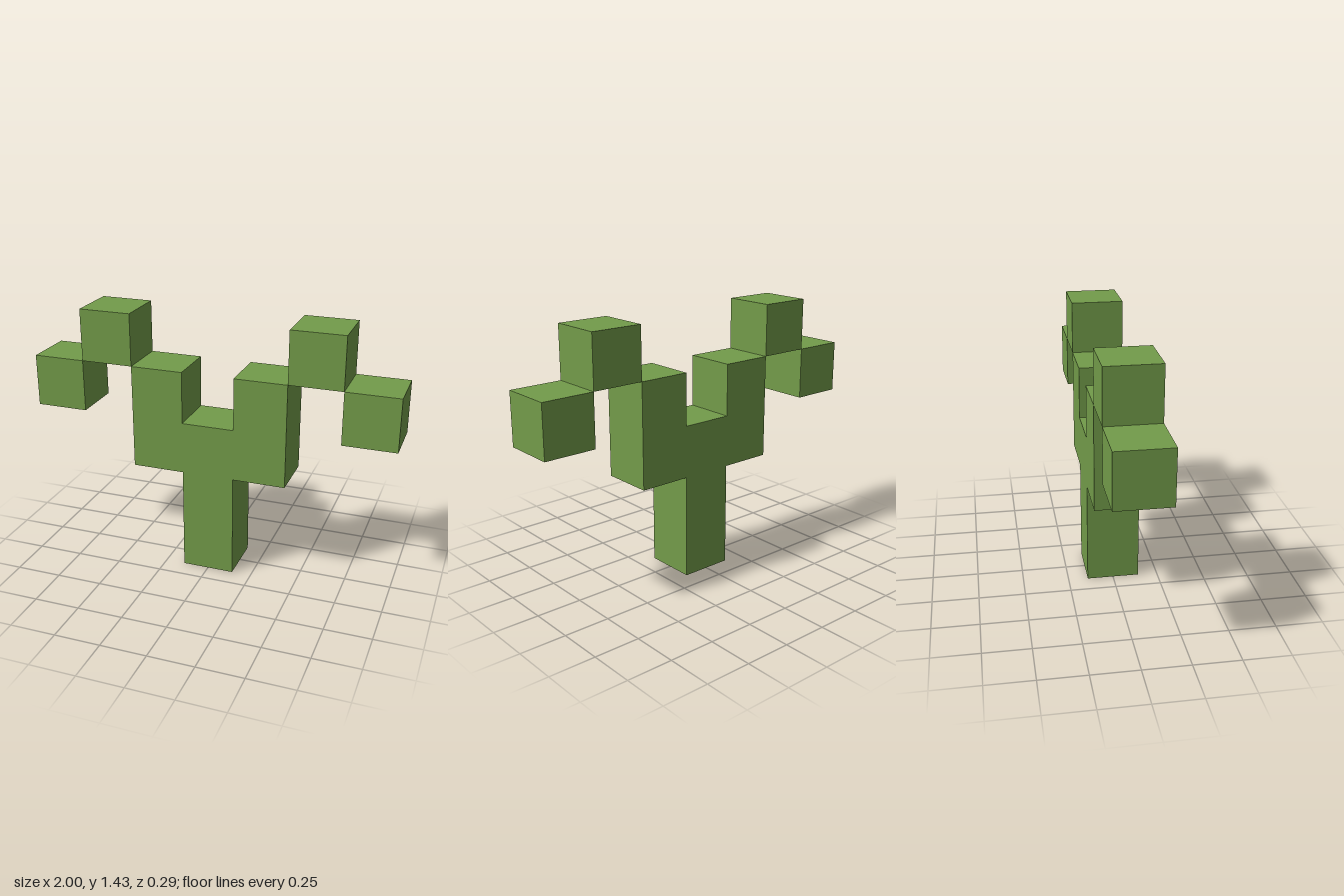
import * as THREE from 'three';

const U = 2 / 7; // edge of one block

export function createModel() {
  const model = new THREE.Group();
  model.name = 'blockPlant';
  const leafGreen = new THREE.MeshStandardMaterial({ color: 0x739c4a });
  leafGreen.name = 'leafGreen';

  // Forked stem: right half of the outline in block units, mirrored for the left
  const half = [[0.5, 0], [0.5, 2], [1.5, 2], [1.5, 4], [0.5, 4], [0.5, 3]];
  const outline = [...half, ...half.map(([x, y]) => [-x, y]).reverse()];
  const shape = new THREE.Shape(outline.map(([x, y]) => new THREE.Vector2(x * U, y * U)));
  const stemGeometry = new THREE.ExtrudeGeometry(shape, { depth: U, bevelEnabled: false });
  stemGeometry.translate(0, 0, -U / 2);
  const stem = new THREE.Mesh(stemGeometry, leafGreen);
  stem.name = 'forkedStem';
  model.add(stem);

  // Branch blocks, touching edge to edge on each side
  const cube = new THREE.BoxGeometry(U, U, U);
  for (const [side, label] of [[1, 'left'], [-1, 'right']]) {
    for (const [name, x, y] of [['UpperBlock', 2, 4.5], ['OuterBlock', 3, 3.5]]) {
      const block = new THREE.Mesh(cube, leafGreen);
      block.name = label + name;
      block.position.set(side * x * U, y * U, 0);
      model.add(block);
    }
  }
  return model;
}
